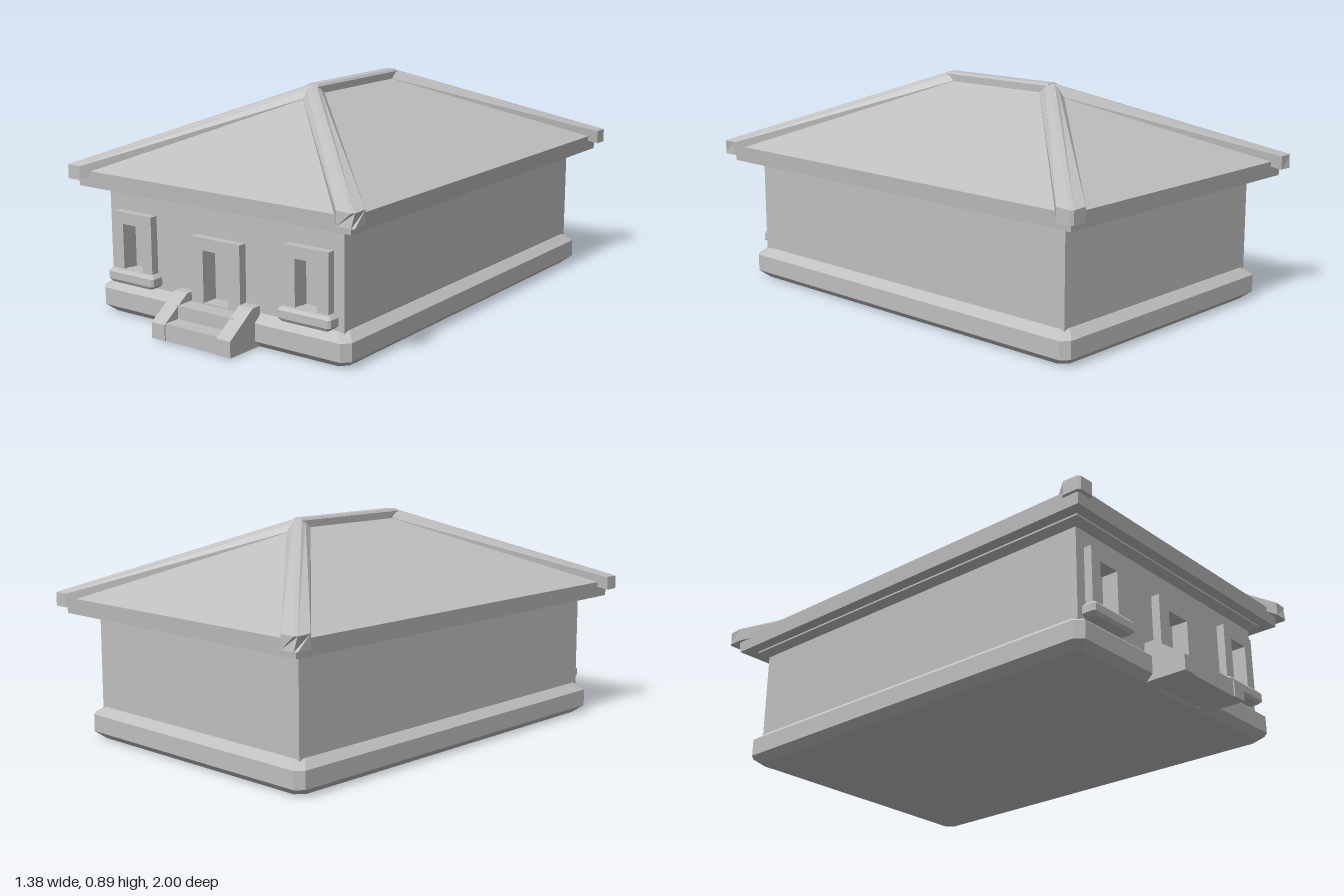
import * as THREE from 'three';

// Skin a series of closed point loops (counterclockwise about the travel direction), capped at both ends
function loft(loops) {
  const pos = [], n = loops[0].length;
  const quad = (a, b, c, d) => pos.push(...a, ...b, ...c, ...a, ...c, ...d);
  for (let k = 0; k < loops.length - 1; k++) {
    const A = loops[k], B = loops[k + 1];
    for (let i = 0; i < n; i++) quad(A[i], A[(i + 1) % n], B[(i + 1) % n], B[i]);
  }
  const first = loops[0], last = loops[loops.length - 1];
  for (let j = 0; j < n / 2 - 1; j++) {
    quad(last[j], last[j + 1], last[n - 2 - j], last[n - 1 - j]);
    quad(first[n - 1 - j], first[n - 2 - j], first[j + 1], first[j]);
  }
  const g = new THREE.BufferGeometry();
  g.setAttribute('position', new THREE.Float32BufferAttribute(pos, 3));
  g.computeVertexNormals();
  return g;
}

// Stack of rectangles [halfX, halfZ, y] with corners cut by c
function moulding(rings, cx, cz, c) {
  return loft(rings.map(([hx, hz, y]) => {
    const p = c
      ? [[hx - c, hz], [hx, hz - c], [hx, c - hz], [hx - c, -hz], [c - hx, -hz], [-hx, c - hz], [-hx, hz - c], [c - hx, hz]]
      : [[hx, hz], [hx, -hz], [-hx, -hz], [-hx, hz]];
    return p.map(([x, z]) => [cx + x, y, cz + z]);
  }));
}

function rect(path, [x0, x1, y0, y1]) {
  path.moveTo(x0, y0);
  path.lineTo(x1, y0);
  path.lineTo(x1, y1);
  path.lineTo(x0, y1);
  path.closePath();
  return path;
}

// Upright slab with rectangular openings
function slab(outline, holes, z0, z1) {
  const shape = rect(new THREE.Shape(), outline);
  for (const h of holes) shape.holes.push(rect(new THREE.Path(), h));
  return new THREE.ExtrudeGeometry(shape, { depth: z1 - z0, bevelEnabled: false }).translate(0, 0, z0);
}

const ROOF_Z = -0.0325, RIDGE_HALF = 0.2775, APEX_Y = 0.87;

// Raised cap running down one hip, with a mitred top and a square end at the corner
function hipCap(sx, sz) {
  const r = Math.SQRT1_2;
  const top = [[0.012, 0.025], [0.027, 0.014], [0.047, -0.012], [0.047, -0.036], [0.007, -0.03]];
  const end = [[0.007, 0.032], [0.05, 0.021], [0.051, 0.018], [0.051, -0.036], [0.007, -0.022]];
  const section = (half, along) => {
    const pts = [
      [-half[2][0], half[2][1]], [-half[1][0], half[1][1]], [-half[0][0], half[0][1]],
      half[0], half[1], half[2], half[3], half[4],
      [-half[4][0], half[4][1]], [-half[3][0], half[3][1]],
    ].map(([p, h]) => {
      const s = along(p);
      return [sx * (s - p) * r, APEX_Y - 0.311 * s + h, ROOF_Z + sz * (RIDGE_HALF + (s + p) * r)];
    });
    return sx * sz < 0 ? pts.reverse() : pts;
  };
  return loft([
    section(top, p => Math.max(0, p)),
    section(end, p => 0.976 - Math.max(Math.abs(p), 0.007)),
  ]);
}

export function createModel() {
  const group = new THREE.Group();
  const stone = new THREE.MeshStandardMaterial({ color: 0xbfbfbf });
  stone.name = 'grey stone';
  const add = (name, geometry, parent = group) => {
    const m = new THREE.Mesh(geometry, stone);
    m.name = name;
    parent.add(m);
    return m;
  };
  const box = (x0, x1, y0, y1, z0, z1) =>
    new THREE.BoxGeometry(x1 - x0, y1 - y0, z1 - z0)
      .translate((x0 + x1) / 2, (y0 + y1) / 2, (z0 + z1) / 2);

  // Plinth and walls
  add('plinth', moulding([[0.575, 0.85, 0], [0.61, 0.885, 0.03], [0.61, 0.885, 0.1], [0.575, 0.85, 0.13]], 0, -0.025, 0.03));
  add('walls', box(-0.57, 0.57, 0.1, 0.51, -0.87, 0.785));
  const doorHole = [-0.06, 0.06, 0.13, 0.335];
  const windowHole = x => [x - 0.05, x + 0.05, 0.19, 0.375];
  add('frontWall', slab([-0.57, 0.57, 0.1, 0.51], [doorHole, windowHole(-0.425), windowHole(0.425)], 0.785, 0.82));

  // Cornice and hipped roof
  add('cornice', moulding([[0.57, 0.845, 0.49], [0.605, 0.88, 0.508], [0.605, 0.88, 0.53]], 0, -0.025, 0));
  add('roof', moulding([[0.655, 0.9325, 0.515], [0.66, 0.9375, 0.58], [0.001, RIDGE_HALF, APEX_Y]], 0, ROOF_Z, 0));

  // Ridge and hip caps
  add('ridgeCap', moulding([[0.03, 0.285, 0.84], [0.03, 0.285, 0.886], [0.022, 0.28, 0.895]], 0, ROOF_Z, 0));
  for (const sx of [-1, 1]) for (const sz of [-1, 1]) add('hipCap', hipCap(sx, sz));

  // Windows
  for (const side of [-1, 1]) {
    const x = side * 0.425;
    const win = new THREE.Group();
    win.name = side > 0 ? 'leftWindow' : 'rightWindow';
    group.add(win);
    add('windowFrame', slab([x - 0.1, x + 0.1, 0.17, 0.422], [windowHole(x)], 0.82, 0.853), win);
    add('windowSill', moulding([[0.105, 0.025, 0.137], [0.12, 0.033, 0.15], [0.12, 0.033, 0.18], [0.106, 0.023, 0.193]], x, 0.842, 0.008), win);
  }

  // Doorway
  add('doorFrame', slab([-0.12, 0.12, 0.11, 0.383], [doorHole], 0.82, 0.855));

  // Steps between sloping side walls
  add('lowerStep', box(-0.15, 0.15, 0.005, 0.072, 0.84, 0.995));
  add('upperStep', box(-0.14, 0.14, 0.05, 0.125, 0.83, 0.925));
  const cheek = new THREE.Shape([[-1, 0.005], [-0.83, 0.005], [-0.83, 0.16], [-0.87, 0.16], [-1, 0.068]]
    .map(([x, y]) => new THREE.Vector2(x, y)));
  for (const x of [-0.193, 0.128]) {
    const g = new THREE.ExtrudeGeometry(cheek, { depth: 0.065, bevelEnabled: false });
    add('stepSideWall', g.rotateY(Math.PI / 2).translate(x, 0, 0));
  }
  return group;
}
